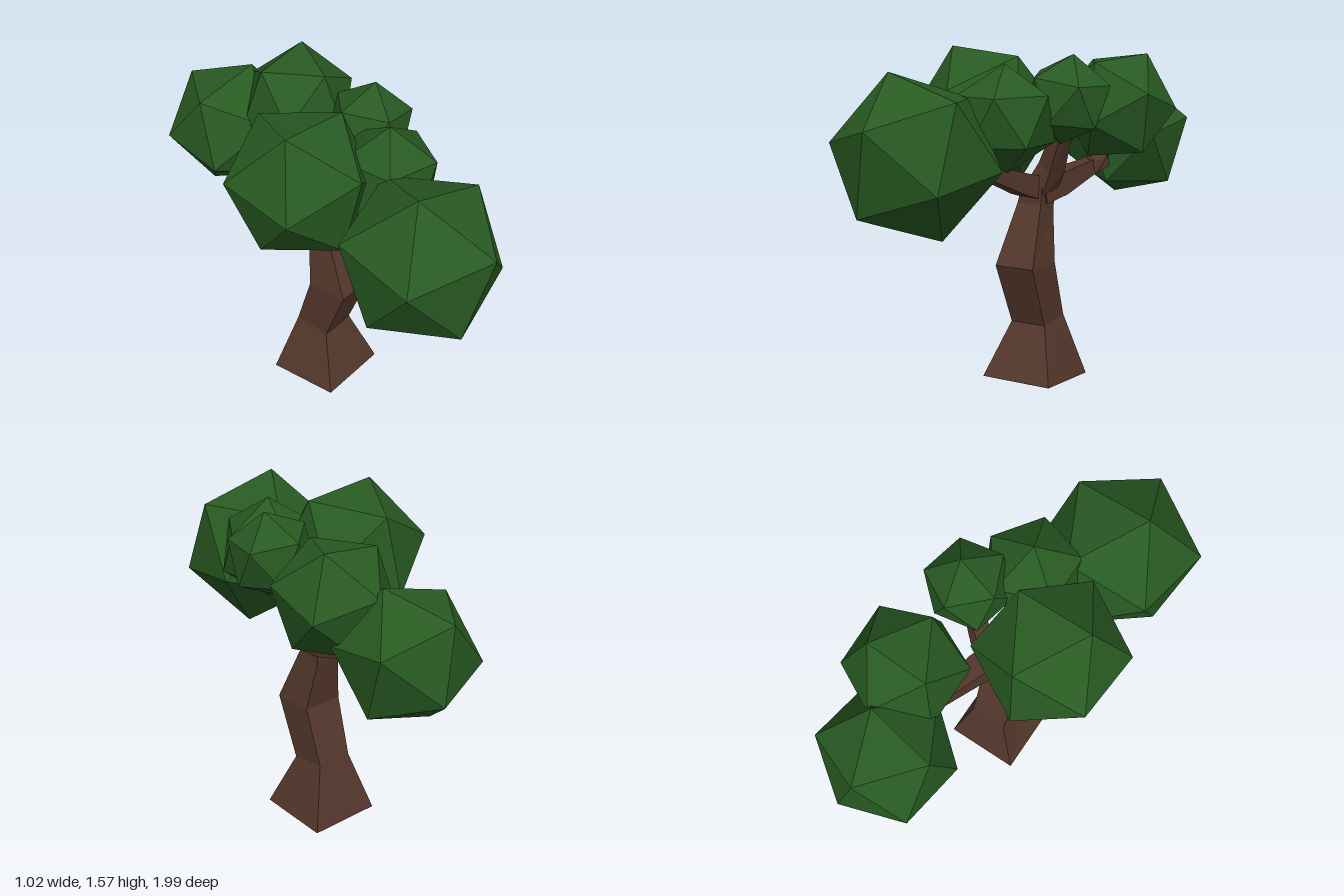
import * as THREE from 'three';

const vec = (a) => new THREE.Vector3(...a);

// Four corners of a ring from its centre and two half-width vectors
const corners = (c, u, v) => [[1, 1], [1, -1], [-1, -1], [-1, 1]].map(
  ([s, t]) => c.clone().addScaledVector(u, s).addScaledVector(v, t));

// Capped four-sided solid through a list of rings
function loft(rings) {
  const pos = [];
  const quad = (a, b, c, d) => [a, b, c, a, c, d].forEach((p) => pos.push(p.x, p.y, p.z));
  for (let i = 0; i < rings.length - 1; i++) {
    const a = rings[i], b = rings[i + 1];
    for (let k = 0; k < 4; k++) {
      const n = (k + 1) % 4;
      quad(a[k], a[n], b[n], b[k]);
    }
  }
  quad(...[...rings[0]].reverse());
  quad(...rings[rings.length - 1]);
  const geo = new THREE.BufferGeometry();
  geo.setAttribute('position', new THREE.Float32BufferAttribute(pos, 3));
  geo.computeVertexNormals();
  return geo;
}

// Tapering square branch along points [x, y, z, halfWidth]
function branch(points) {
  const p = points.map((q) => vec(q.slice(0, 3)));
  return loft(p.map((c, i) => {
    const dir = p[Math.min(i + 1, p.length - 1)].clone().sub(p[Math.max(i - 1, 0)]).normalize();
    const u = new THREE.Vector3(0, 1, 0).cross(dir).normalize();
    const v = u.clone().cross(dir);
    const r = points[i][3];
    return corners(c, u.multiplyScalar(r), v.multiplyScalar(r));
  }));
}

// Icosahedron about a centre, turned so one edge points from a to b
function leafBall(center, radius, a, b) {
  const c = vec(center);
  const va = vec(a).sub(c).normalize(), vb = vec(b).sub(c).normalize();
  const x = vb.clone().sub(va).normalize();
  const y = va.add(vb).normalize();
  const z = x.clone().cross(y);
  const geo = new THREE.IcosahedronGeometry(radius, 0);
  geo.applyMatrix4(new THREE.Matrix4().makeBasis(x, y, z).setPosition(c));
  return geo;
}

export function createModel() {
  const tree = new THREE.Group();
  tree.name = 'tree';
  const bark = new THREE.MeshStandardMaterial({ color: 0x55382c, flatShading: true });
  const leaf = new THREE.MeshStandardMaterial({ color: 0x285a22, flatShading: true });
  const add = (name, geo, mat) => {
    const mesh = new THREE.Mesh(geo, mat);
    mesh.name = name;
    tree.add(mesh);
  };

  // Crooked trunk: centre x, half width, front z and y, back z and y
  const trunk = [
    [0.03, 0.18, 0.145, 0.02, -0.21, 0],
    [0.035, 0.09, 0.04, 0.28, -0.135, 0.30],
    [0.03, 0.10, 0.155, 0.57, -0.045, 0.57],
    [0.035, 0.063, 0.03, 0.85, -0.085, 0.81],
    [0.05, 0.05, 0.02, 0.97, -0.1, 0.96],
  ];
  add('trunk', loft(trunk.map(([x, w, zf, yf, zb, yb]) => corners(
    new THREE.Vector3(x, (yf + yb) / 2, (zf + zb) / 2),
    new THREE.Vector3(w, 0, 0),
    new THREE.Vector3(0, (yf - yb) / 2, (zf - zb) / 2)))), bark);

  // Branches
  const branches = {
    frontBranch: [[0.04, 0.92, -0.03, 0.055], [0.02, 0.95, 0.08, 0.05], [0, 1.03, 0.32, 0.032], [-0.06, 1.08, 0.48, 0.025]],
    backBranch: [[0.05, 0.91, -0.02, 0.06], [0.09, 0.935, -0.14, 0.055], [0.14, 0.99, -0.36, 0.035], [0.17, 1.03, -0.55, 0.03]],
    backTwig: [[0.14, 0.98, -0.36, 0.035], [0.18, 1.05, -0.4, 0.035], [0.24, 1.2, -0.4, 0.025]],
    upperBranch: [[0.05, 0.9, -0.04, 0.055], [0.12, 1.02, -0.03, 0.045], [0.22, 1.24, 0.02, 0.03]],
  };
  for (const [name, points] of Object.entries(branches)) add(name, branch(points), bark);

  // Foliage: centre, radius, and two neighbouring corners
  const foliage = {
    frontFoliage: [[-0.16, 1.125, 0.64], 0.38, [-0.16, 1.27, 0.99], [-0.27, 1.49, 0.68]],
    rightFoliage: [[-0.205, 1.26, 0.02], 0.35, [-0.36, 1.575, 0.07], [0.01, 1.54, 0.08]],
    backFoliage: [[0.155, 1.105, -0.71], 0.318, [0.23, 0.99, -1], [0.43, 1.195, -0.84]],
    backLeftFoliage: [[0.27, 1.287, -0.39], 0.28, [0.39, 1.53, -0.46], [0.5, 1.36, -0.25]],
    leftFoliage: [[0.245, 1.347, 0.05], 0.205, [0.28, 1.545, 0.06], [0.24, 1.435, -0.125]],
    middleFoliage: [[0.07, 1.27, 0.285], 0.242, [0.06, 1.51, 0.29], [0.28, 1.37, 0.28]],
  };
  for (const [name, spec] of Object.entries(foliage)) add(name, leafBall(...spec), leaf);

  return tree;
}
